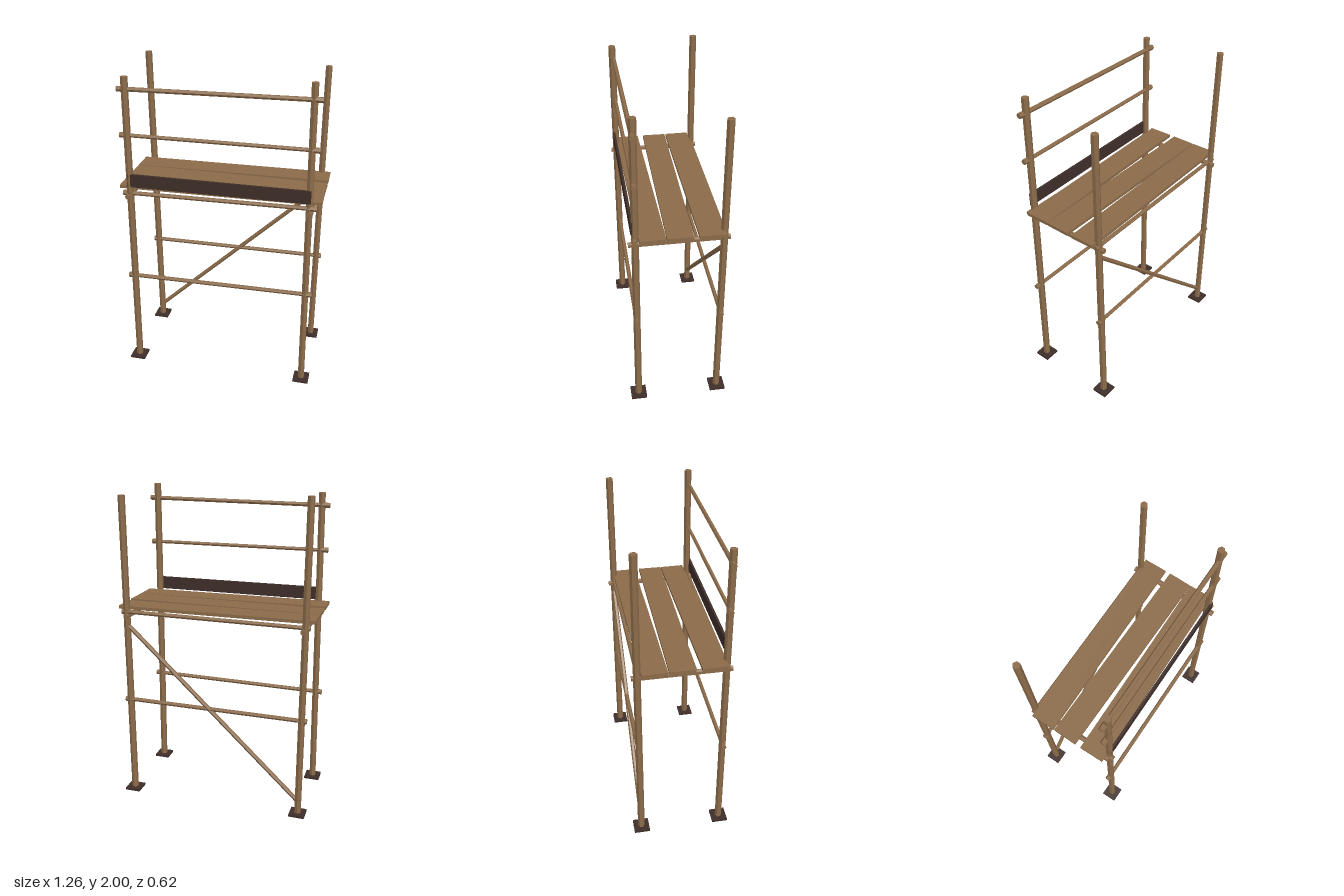
import * as THREE from 'three';

export function createModel() {
  const model = new THREE.Group();
  model.name = 'scaffoldTower';

  const wood = new THREE.MeshStandardMaterial({ color: 0x8b6b4a, flatShading: true });
  wood.name = 'wood';
  const dark = new THREE.MeshStandardMaterial({ color: 0x3f2e29, flatShading: true });
  dark.name = 'darkWood';

  const X = 0.565, Z = 0.26;
  const up = new THREE.Vector3(0, 1, 0);

  // Six-sided pole between two points
  function pole(name, a, b, r) {
    const p = new THREE.Vector3(...a), q = new THREE.Vector3(...b);
    const dir = q.clone().sub(p);
    const mesh = new THREE.Mesh(new THREE.CylinderGeometry(r, r, dir.length(), 6), wood);
    mesh.name = name;
    mesh.position.copy(p).add(q).multiplyScalar(0.5);
    mesh.quaternion.setFromUnitVectors(up, dir.normalize());
    model.add(mesh);
  }

  function box(name, size, pos, mat, turn = 0) {
    const mesh = new THREE.Mesh(new THREE.BoxGeometry(...size), mat);
    mesh.name = name;
    mesh.position.set(...pos);
    mesh.rotation.y = turn;
    model.add(mesh);
  }

  // Slightly leaning uprights on square foot plates: side x, side z, top point
  const uprights = [
    [-1, -1, [-0.58, 2.0, -0.266]],
    [1, -1, [0.575, 1.97, -0.257]],
    [-1, 1, [-0.55, 1.97, 0.262]],
    [1, 1, [0.55, 2.0, 0.25]],
  ];
  for (const [sx, sz, top] of uprights) {
    pole('upright', [sx * X, 0.01, sz * Z], top, 0.022);
    box('footPlate', [0.1, 0.014, 0.1], [sx * X, 0.007, sz * Z], dark);
  }

  // Horizontal rails with thicker couplers at the uprights: z, left y, right y, radius
  const rails = [
    [Z, 0.644, 0.657, 0.013],
    [-Z, 0.648, 0.654, 0.013],
    [Z, 1.236, 1.249, 0.013],
    [-Z, 1.24, 1.247, 0.013],
    [Z - 0.004, 1.612, 1.612, 0.012],
    [Z - 0.004, 1.893, 1.905, 0.014],
  ];
  for (const [z, y0, y1, r] of rails) {
    pole('rail', [-0.598, y0, z], [0.598, y1, z], r);
    pole('coupler', [-0.602, y0, z], [-0.55, y0, z], 0.017);
    pole('coupler', [0.55, y1, z], [0.602, y1, z], 0.017);
  }

  // Cross bearers below the deck
  for (const x of [-X, X]) pole('crossBearer', [x, 1.22, -0.295], [x, 1.22, 0.295], 0.017);

  // Diagonal brace across the back
  pole('backBrace', [-0.565, 0.09, -Z], [0.565, 1.16, -Z], 0.014);

  // Deck planks, each laid a little askew: z, turn
  [[-0.175, 0.0087], [-0.003, -0.012], [0.17, 0.0155]].forEach(([z, turn]) =>
    box('deckPlank', [1.255, 0.02, 0.152], [0, 1.272, z], wood, turn));

  // Toe board along the front
  box('toeBoard', [1.13, 0.082, 0.014], [0, 1.325, 0.272], dark);

  return model;
}
